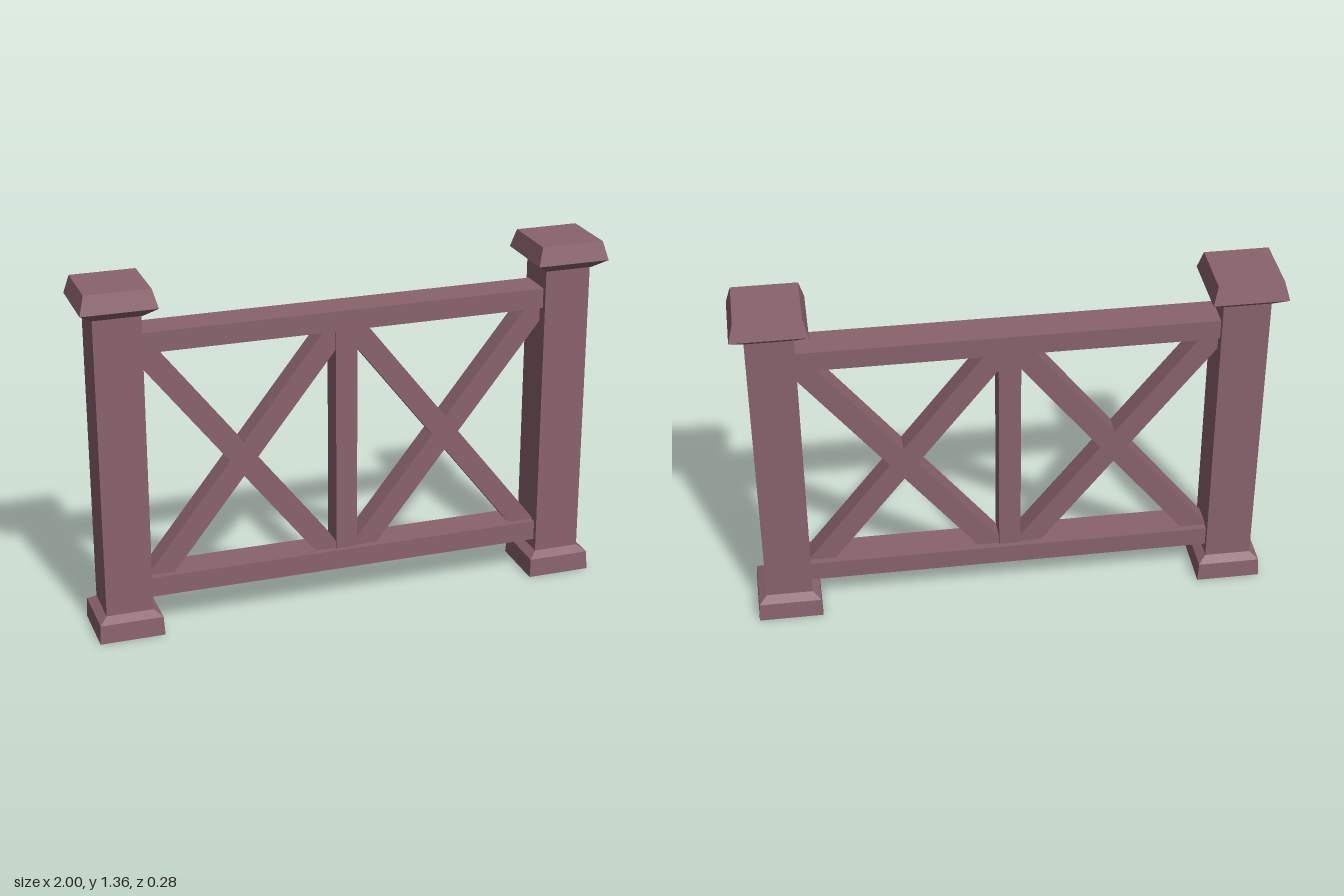
import * as THREE from 'three';

const wood = new THREE.MeshStandardMaterial({ color: 0x8a636d, flatShading: true });
wood.name = 'mauve wood';

// Square turned part: profile of [half width, height], bottom to top
function squareProfile(name, profile) {
  const points = profile.map(([half, y]) => new THREE.Vector2(half * Math.SQRT2, y));
  const mesh = new THREE.Mesh(new THREE.LatheGeometry(points, 4, Math.PI / 4), wood);
  mesh.name = name;
  return mesh;
}

function beam(name, w, h, d, x, y, angle = 0) {
  const mesh = new THREE.Mesh(new THREE.BoxGeometry(w, h, d), wood);
  mesh.name = name;
  mesh.position.set(x, y, 0);
  mesh.rotation.z = angle;
  return mesh;
}

export function createModel() {
  const model = new THREE.Group();
  model.name = 'fenceSection';

  for (const side of [-1, 1]) {
    const label = side < 0 ? 'right' : 'left';

    // End post with flared foot and bevelled cap
    const post = new THREE.Group();
    post.name = label + 'Post';
    post.position.x = side * 0.86;
    post.add(
      squareProfile('postFoot', [[0, 0], [0.123, 0], [0.119, 0.073], [0.089, 0.095], [0, 0.095]]),
      beam('postShaft', 0.177, 1.19, 0.177, 0, 0.665),
      squareProfile('postCap', [[0, 1.25], [0.093, 1.25], [0.14, 1.286], [0.121, 1.356], [0, 1.356]])
    );
    model.add(post);

    // Crossed braces
    for (const lean of [-1, 1]) {
      model.add(beam(label + 'Brace', 1.21, 0.083, 0.085, side * 0.398, 0.631, lean * 0.906));
    }
  }

  // Rails and middle upright
  model.add(
    beam('topRail', 1.55, 0.077, 0.137, 0, 1.138),
    beam('bottomRail', 1.55, 0.077, 0.137, 0, 0.175),
    beam('middleUpright', 0.083, 0.94, 0.1, 0, 0.655)
  );
  return model;
}
